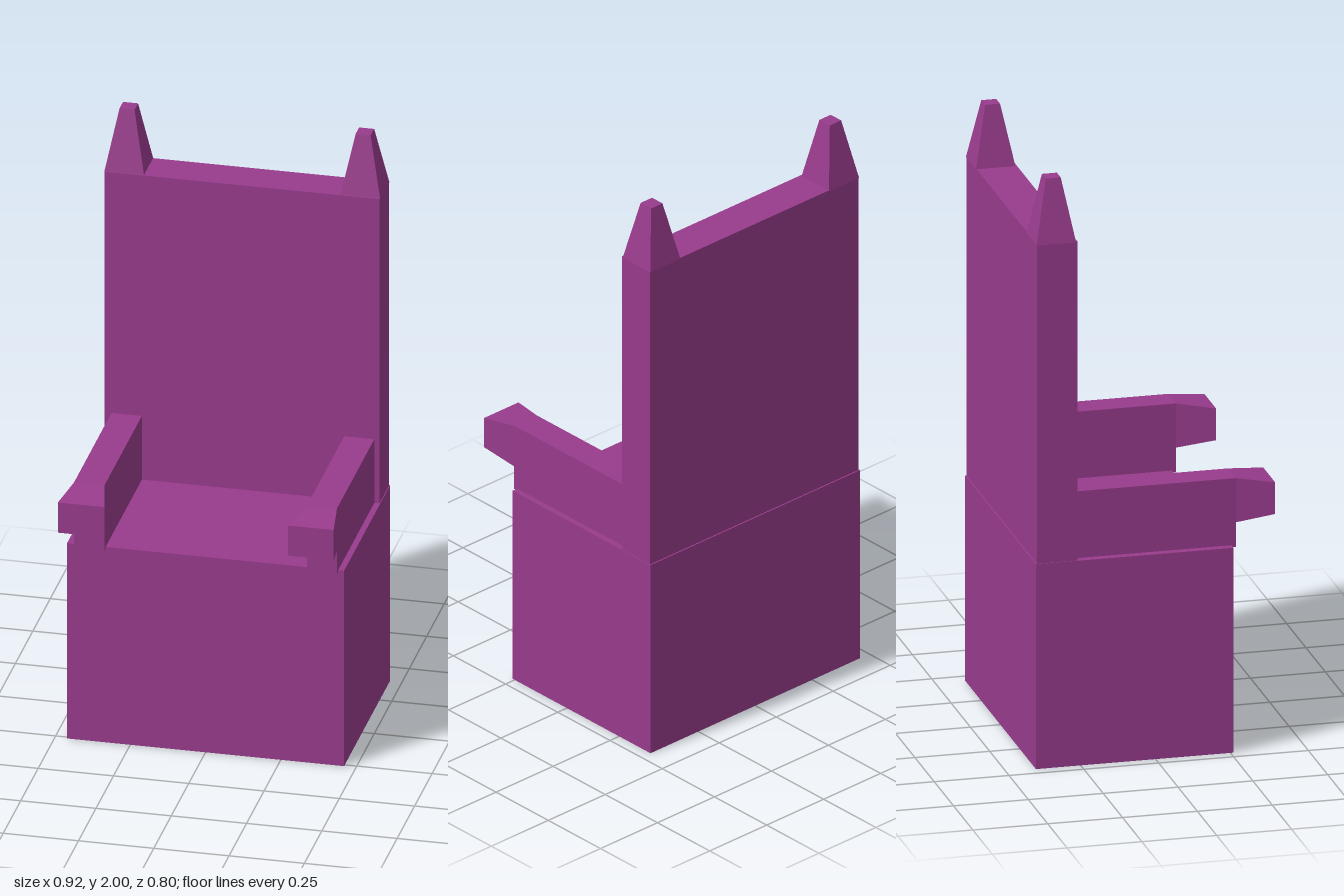
import * as THREE from 'three';

const purple = new THREE.MeshStandardMaterial({ color: 0x983b8c });

// Flat-faced block whose unit-cube corners are placed by a rule
function block(name, place) {
  const geo = new THREE.BoxGeometry(1, 1, 1).toNonIndexed();
  const p = geo.attributes.position;
  for (let i = 0; i < p.count; i++) {
    p.setXYZ(i, ...place(p.getX(i) + 0.5, p.getY(i) + 0.5, p.getZ(i) + 0.5));
  }
  geo.computeVertexNormals();
  const mesh = new THREE.Mesh(geo, purple);
  mesh.name = name;
  return mesh;
}

const mix = THREE.MathUtils.lerp;

// Straight box given by its limits on each axis
const box = (name, [x0, x1], [y0, y1], [z0, z1]) =>
  block(name, (u, v, w) => [mix(x0, x1, u), mix(y0, y1, v), mix(z0, z1, w)]);

export function createModel() {
  const throne = new THREE.Group();
  throne.name = 'throne';

  // Solid seat block and tall back
  throne.add(box('seat', [-0.46, 0.46], [0, 0.7], [-0.4, 0.26]));
  throne.add(box('backrest', [-0.457, 0.457], [0.7, 1.79], [-0.395, -0.26]));

  for (const [side, inner, outer, tipIn, tipOut, top] of [
    ['right', -0.332, -0.433, -0.303, -0.458, 2],
    ['left', 0.34, 0.44, 0.306, 0.458, 1.993],
  ]) {
    const x0 = Math.min(inner, outer), x1 = Math.max(inner, outer);
    const t0 = Math.min(tipIn, tipOut), t1 = Math.max(tipIn, tipOut);

    // Arm panel, sunk slightly into the seat
    throne.add(box(side + 'Arm', [x0, x1], [0.693, 0.928], [-0.262, 0.275]));

    // Hand rest: widens in x and narrows in y toward the front
    throne.add(block(side + 'HandRest', (u, v, w) => [
      mix(mix(x0, x1, u), mix(t0, t1, u), w),
      mix(mix(0.777, 0.928, v), mix(0.803, 0.911, v), w),
      mix(0.275, 0.4, w),
    ]));

    // Tapered square finial on the back corner
    const cx = side === 'left' ? 0.392 : -0.392;
    throne.add(block(side + 'Finial', (u, v, w) => {
      const width = mix(0.132, 0.05, v);
      return [cx + (u - 0.5) * width, mix(1.788, top, v), -0.331 + (w - 0.5) * width];
    }));
  }

  return throne;
}
